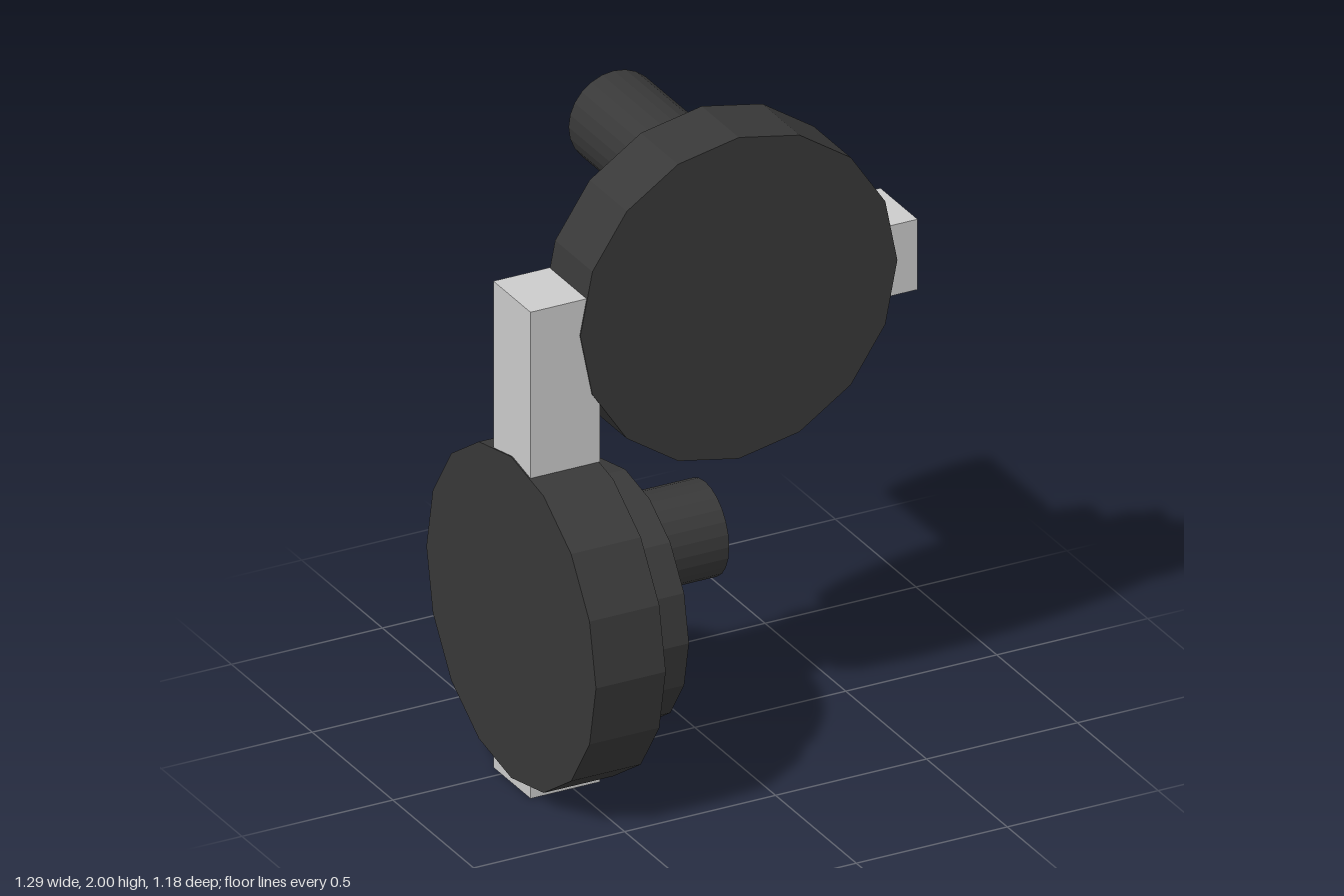
import * as THREE from 'three';

const grey = new THREE.MeshStandardMaterial({ color: 0xcccccc, flatShading: true });
const dark = new THREE.MeshStandardMaterial({ color: 0x383838, flatShading: true });

// Box given by its minimum and maximum corners
function bar(name, min, max) {
  const size = max.map((v, i) => v - min[i]);
  const mesh = new THREE.Mesh(new THREE.BoxGeometry(...size), grey);
  mesh.position.set(...max.map((v, i) => (v + min[i]) / 2));
  mesh.name = name;
  return mesh;
}

// Cylinder standing on the local y axis, from height y0 to y1
function drum(name, radius, y0, y1, sides, offset = 0) {
  const mesh = new THREE.Mesh(new THREE.CylinderGeometry(radius, radius, y1 - y0, sides), dark);
  mesh.position.set(0, (y0 + y1) / 2, offset);
  mesh.name = name;
  return mesh;
}

// Stepped wheel with an off-centre crank pin; its outer face lies at local y = 0
function crankWheel(name) {
  const wheel = new THREE.Group();
  wheel.name = name;
  wheel.add(
    drum('wheelDisc', 0.525, 0, 0.231, 16),
    drum('innerDisc', 0.394, 0.23, 0.378, 16),
    drum('crankPin', 0.149, 0.328, 0.776, 24, -0.25)
  );
  return wheel;
}

export function createModel() {
  const model = new THREE.Group();
  model.name = 'crankWheels';

  // L-shaped frame
  model.add(
    bar('uprightBar', [-0.641, 0, -0.049], [-0.411, 1.36, 0.181]),
    bar('crossBar', [-0.641, 1.36, -0.049], [0.641, 1.59, 0.181])
  );

  // Lower wheel, pin pointing to +x
  const lower = crankWheel('lowerWheel');
  lower.rotation.z = -Math.PI / 2;
  lower.position.set(-0.645, 0.544, 0.069);

  // Upper wheel, pin pointing to the back and raised above the centre
  const upper = crankWheel('upperWheel');
  upper.rotation.x = -Math.PI / 2;
  upper.position.set(0.047, 1.475, 0.185);
  // Put the off-centre pin above the axle
  upper.getObjectByName('crankPin').position.z = 0.25;

  model.add(lower, upper);
  return model;
}
